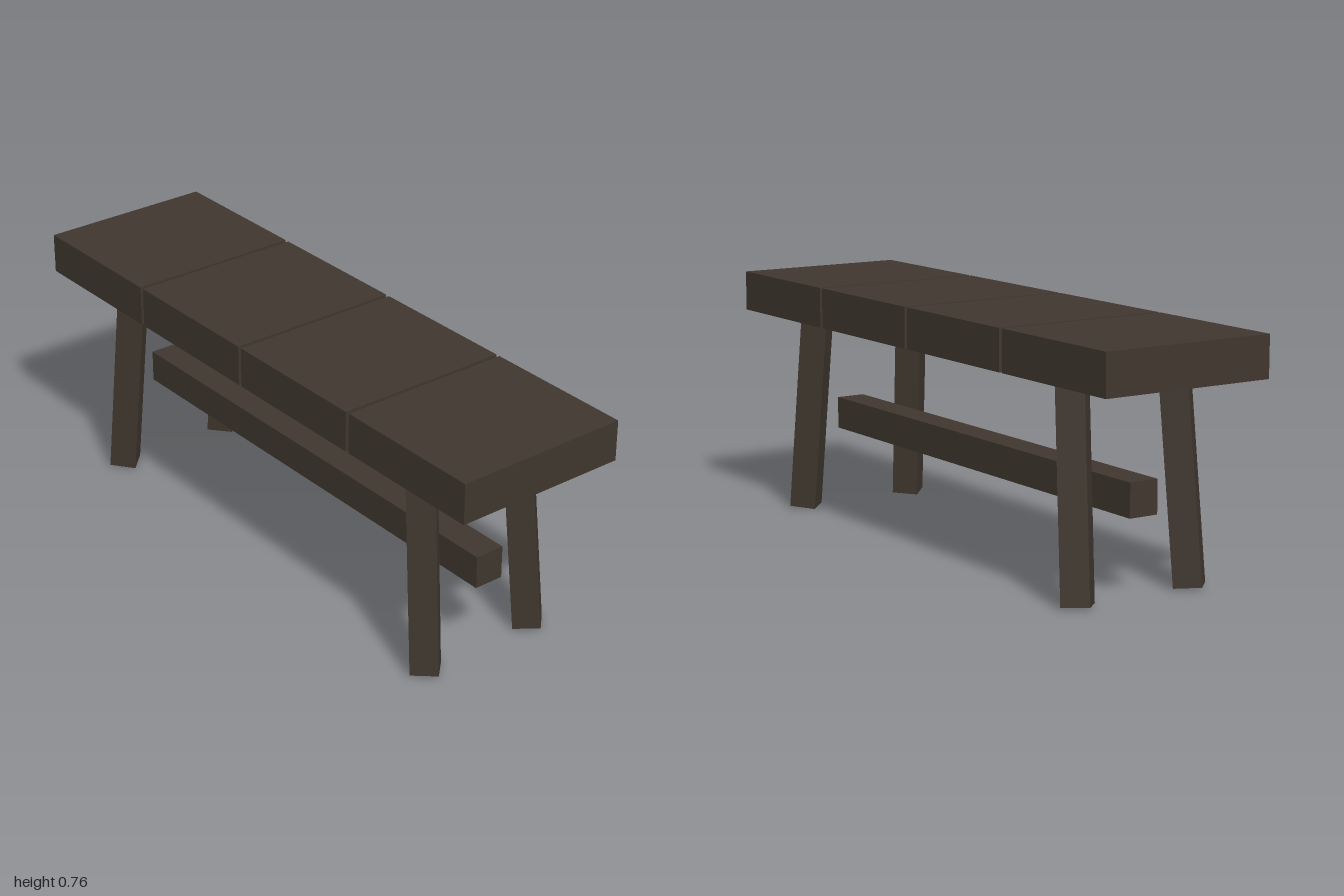
import * as THREE from 'three';

export function createModel() {
  const bench = new THREE.Group();
  bench.name = 'bench';
  const wood = new THREE.MeshStandardMaterial({ color: 0x3f362e });
  wood.name = 'dark wood';

  const add = (name, geometry, x, y, z) => {
    const mesh = new THREE.Mesh(geometry, wood);
    mesh.name = name;
    mesh.position.set(x, y, z);
    bench.add(mesh);
    return mesh;
  };

  // Seat: four thick slabs with narrow gaps
  const gap = 0.013;
  const slabWidth = (2 - 3 * gap) / 4;
  const slab = new THREE.BoxGeometry(slabWidth, 0.127, 0.562);
  for (let i = 0; i < 4; i++) {
    add(`seatSlab${i + 1}`, slab, -1 + slabWidth / 2 + i * (slabWidth + gap), 0.6995, 0);
  }

  // Stretcher beam between the leg pairs
  add('stretcher', new THREE.BoxGeometry(1.61, 0.103, 0.096), 0, 0.295, 0);

  // Legs: square posts turned 45 degrees, splayed outward, tops set just into the seat
  const up = new THREE.Vector3(0, 1, 0);
  for (const sx of [1, -1]) {
    for (const sz of [1, -1]) {
      const foot = new THREE.Vector3(sx * 0.766, 0.0075, sz * 0.198);
      const top = new THREE.Vector3(sx * 0.706, 0.645, sz * 0.179);
      const axis = top.clone().sub(foot);
      const post = new THREE.BoxGeometry(0.084, axis.length(), 0.084).rotateY(Math.PI / 4);
      const mid = foot.clone().add(top).multiplyScalar(0.5);
      const name = (sz > 0 ? 'front' : 'back') + (sx > 0 ? 'Left' : 'Right') + 'Leg';
      add(name, post, mid.x, mid.y, mid.z).quaternion.setFromUnitVectors(up, axis.normalize());
    }
  }

  return bench;
}
